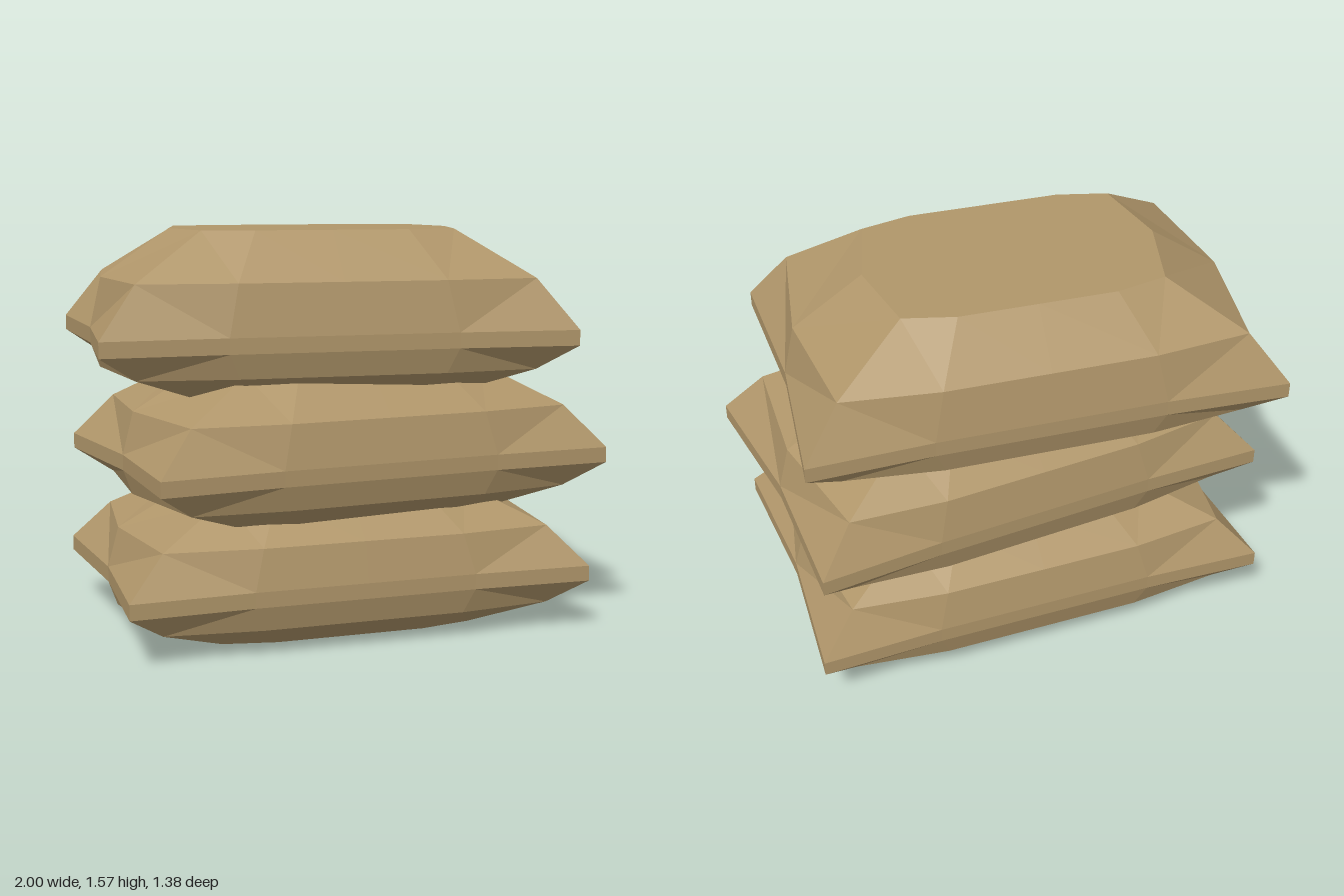
import * as THREE from 'three';

// Cross-sections of a bag: height, corner x/z, short-side middle x,
// long-side middle z, and x of the quarter points on the long sides
const RINGS = [
  { y: 0.0, cx: 0.51, cz: 0.335, mx: 0.59, mz: 0.378, q: 0.3 },
  { y: 0.1, cx: 0.775, cz: 0.5, mx: 0.845, mz: 0.543, q: 0.4 },
  { y: 0.195, cx: 0.917, cz: 0.589, mx: 0.88, mz: 0.57, q: 0.44 },
  { y: 0.255, cx: 0.917, cz: 0.589, mx: 0.88, mz: 0.57, q: 0.44 },
  { y: 0.45, cx: 0.772, cz: 0.499, mx: 0.837, mz: 0.54, q: 0.4 },
  { y: 0.635, cx: 0.497, cz: 0.32, mx: 0.567, mz: 0.366, q: 0.3 },
];
const SEAM_TOP = 0.255;
const CORNERS = [1, 5, 7, 11];

// Twelve points around one cross-section; puff scales the height above the seam
function ringPoints({ y, cx, cz, mx, mz, q }, puff) {
  const h = y > SEAM_TOP ? SEAM_TOP + (y - SEAM_TOP) * puff : y;
  return [
    [mx, 0], [cx, cz], [q, mz], [0, mz], [-q, mz], [-cx, cz],
    [-mx, 0], [-cx, -cz], [-q, -mz], [0, -mz], [q, -mz], [cx, -cz],
  ].map(([x, z]) => [x, h, z]);
}

function bagGeometry(puff) {
  const rings = RINGS.map((r) => ringPoints(r, puff));
  const n = 12;
  const pos = [];
  const tri = (...pts) => pts.forEach((p) => pos.push(...p));

  // Bands between cross-sections, creased from inner corners to outer middles
  for (let k = 0; k < rings.length - 1; k++) {
    const lower = k < 2;
    for (let i = 0; i < n; i++) {
      const j = (i + 1) % n;
      const a0 = rings[k][i], a1 = rings[k][j];
      const b0 = rings[k + 1][i], b1 = rings[k + 1][j];
      if (CORNERS.includes(i) === lower) {
        tri(a1, a0, b1);
        tri(a0, b0, b1);
      } else {
        tri(a1, a0, b0);
        tri(a1, b0, b1);
      }
    }
  }

  // Flat underside and top
  const base = rings[0], top = rings[rings.length - 1];
  for (let i = 0; i < n; i++) {
    const j = (i + 1) % n;
    tri([0, base[0][1], 0], base[i], base[j]);
    tri([0, top[0][1], 0], top[j], top[i]);
  }

  const g = new THREE.BufferGeometry();
  g.setAttribute('position', new THREE.Float32BufferAttribute(pos, 3));
  g.computeVertexNormals();
  return g;
}

export function createModel() {
  const group = new THREE.Group();
  group.name = 'sandbagStack';
  const burlap = new THREE.MeshStandardMaterial({ color: 0xb0966a });
  burlap.name = 'burlap';
  burlap.flatShading = true;

  // Three bags, each turned a little and squashed by the ones above
  const bags = [
    { name: 'bottomBag', at: [-0.01, 0, -0.008], turn: 0, puff: 0.8 },
    { name: 'middleBag', at: [0.033, 0.46, 0.02], turn: 0.087, puff: 0.85 },
    { name: 'topBag', at: [-0.045, 0.935, -0.044], turn: -0.068, puff: 1 },
  ];
  for (const { name, at, turn, puff } of bags) {
    const bag = new THREE.Mesh(bagGeometry(puff), burlap);
    bag.name = name;
    bag.position.set(...at);
    bag.rotation.y = turn;
    group.add(bag);
  }
  return group;
}
